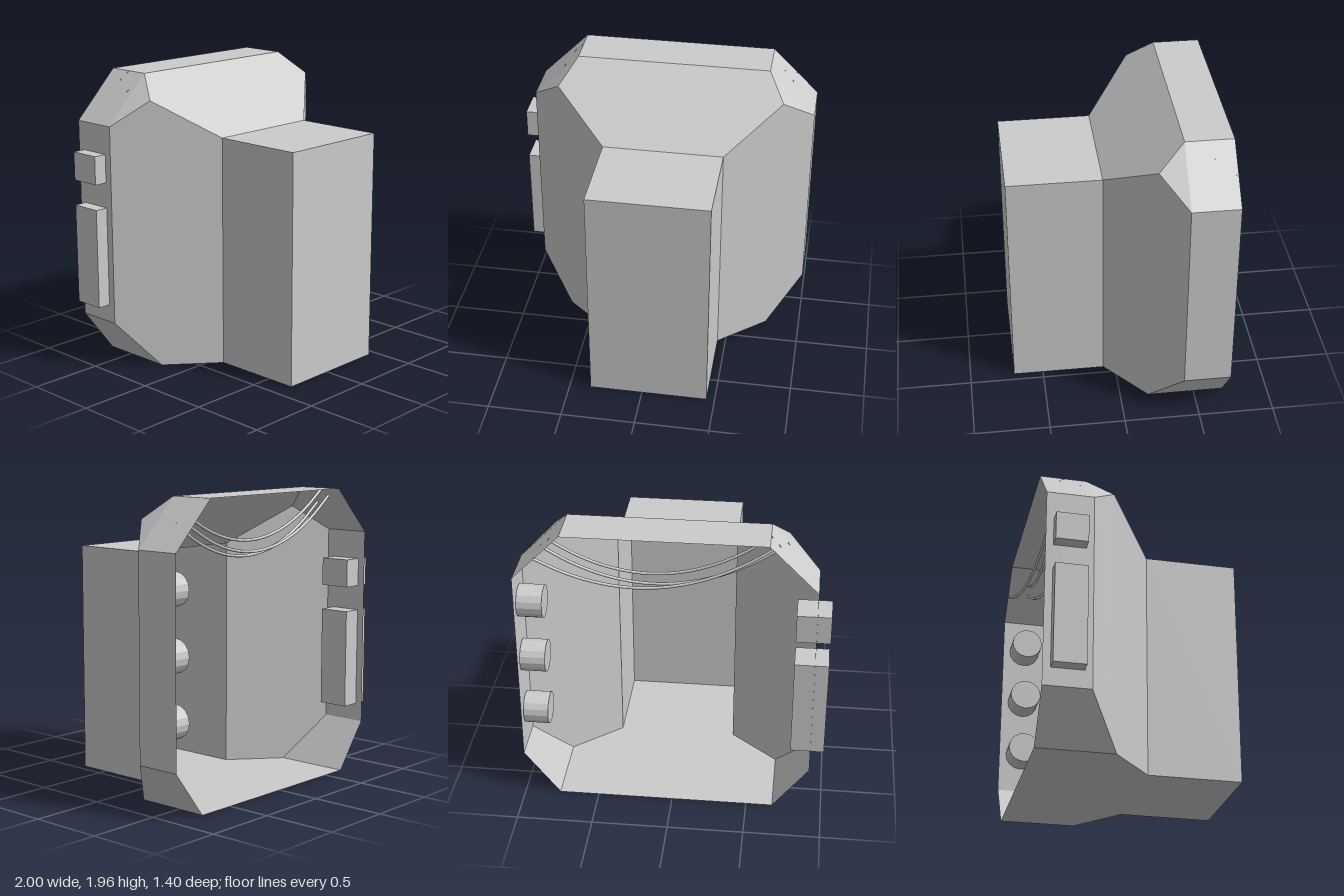
import * as THREE from 'three';

const CX = 0.044; // the shell's mirror plane
const grey = new THREE.MeshStandardMaterial({ color: 0xcccccc, flatShading: true });
const shellGrey = new THREE.MeshStandardMaterial({ color: 0xcccccc, flatShading: true, side: THREE.DoubleSide });
const wireGrey = new THREE.MeshStandardMaterial({ color: 0xcccccc });

function addMesh(group, name, geometry, material, x = 0, y = 0, z = 0) {
  const mesh = new THREE.Mesh(geometry, material);
  mesh.name = name;
  mesh.position.set(x, y, z);
  group.add(mesh);
  return mesh;
}

// Flat convex polygons, each fanned into triangles
function polygons(faces) {
  const out = [];
  for (const f of faces) {
    for (let i = 1; i < f.length - 1; i++) out.push(...f[0], ...f[i], ...f[i + 1]);
  }
  const geometry = new THREE.BufferGeometry();
  geometry.setAttribute('position', new THREE.Float32BufferAttribute(out, 3));
  geometry.computeVertexNormals();
  return geometry;
}

function shellGeometry() {
  const neck = 0.4, rim = 0.955, top = 0.645, knee = 0.754, base = 0.719;
  const faces = [];

  // Roof, slope, neck roof, front and floor: rows of [half width, y, z]
  const rows = [
    [top, 1.96, -0.7], [top, 1.96, -0.39], [knee, 1.815, -0.22], [neck, 1.56, 0.08],
    [neck, 1.56, 0.7], [neck, 0, 0.7], [neck, 0, 0.08], [base, 0, -0.19], [base, 0, -0.7],
  ];
  for (let i = 0; i < rows.length - 1; i++) {
    const [a, y0, z0] = rows[i], [b, y1, z1] = rows[i + 1];
    faces.push([[-a, y0, z0], [-b, y1, z1], [b, y1, z1], [a, y0, z0]]);
  }

  // Side walls and bevels, mirrored
  const side = [
    [[rim, 0.31, -0.7], [rim, 1.65, -0.7], [rim, 1.65, -0.39], [rim, 0.31, -0.39]],
    [[rim, 1.65, -0.7], [top, 1.96, -0.7], [top, 1.96, -0.39], [rim, 1.65, -0.39]],
    [[rim, 1.65, -0.39], [top, 1.96, -0.39], [knee, 1.815, -0.22]],
    [[rim, 0.31, -0.39], [rim, 1.65, -0.39], [knee, 1.815, -0.22],
      [neck, 1.56, 0.08], [neck, 0, 0.08], [base, 0, -0.19]],
    [[rim, 0.31, -0.39], [base, 0, -0.39], [base, 0, -0.7], [rim, 0.31, -0.7]],
    [[rim, 0.31, -0.39], [base, 0, -0.19], [base, 0, -0.39]],
    [[neck, 0, 0.08], [neck, 1.56, 0.08], [neck, 1.56, 0.7], [neck, 0, 0.7]],
  ];
  for (const f of side) {
    faces.push(f, f.map(([x, y, z]) => [-x, y, z]).reverse());
  }
  return polygons(faces);
}

// A wire hanging between two points
function wireGeometry(from, to, sag) {
  const a = new THREE.Vector3(...from), b = new THREE.Vector3(...to);
  const points = [];
  for (let i = 0; i <= 8; i++) {
    const t = i / 8;
    const p = a.clone().lerp(b, t);
    p.y -= 4 * sag * t * (1 - t);
    points.push(p);
  }
  return new THREE.TubeGeometry(new THREE.CatmullRomCurve3(points), 32, 0.01, 8);
}

export function createModel() {
  const model = new THREE.Group();
  model.name = 'hollowHousing';

  // Thin shell, open at the back
  addMesh(model, 'shell', shellGeometry(), shellGrey, CX);

  // Blocks pushed through the right wall
  for (const [name, low, high] of [['upperBlock', 1.27, 1.46], ['lowerBlock', 0.43, 1.1]]) {
    addMesh(model, name, new THREE.BoxGeometry(0.22, high - low, 0.21), grey, -0.89, (low + high) / 2, -0.545);
  }

  // Round knobs on the inside of the left wall
  for (let i = 0; i < 3; i++) {
    const knob = addMesh(model, 'knob' + (i + 1), new THREE.CylinderGeometry(0.108, 0.108, 0.165, 16),
      grey, 0.913, 1.41 - i * 0.412, -0.545);
    knob.rotation.z = Math.PI / 2;
  }

  // Wires slung between the upper bevels
  const wires = [
    [[0.84, 1.81, -0.545], [-0.71, 1.855, -0.44], 0.28],
    [[0.855, 1.795, -0.69], [-0.66, 1.905, -0.57], 0.25],
    [[0.78, 1.87, -0.57], [-0.61, 1.955, -0.55], 0.25],
  ];
  wires.forEach(([from, to, sag], i) => {
    addMesh(model, 'wire' + (i + 1), wireGeometry(from, to, sag), wireGrey);
  });

  return model;
}
